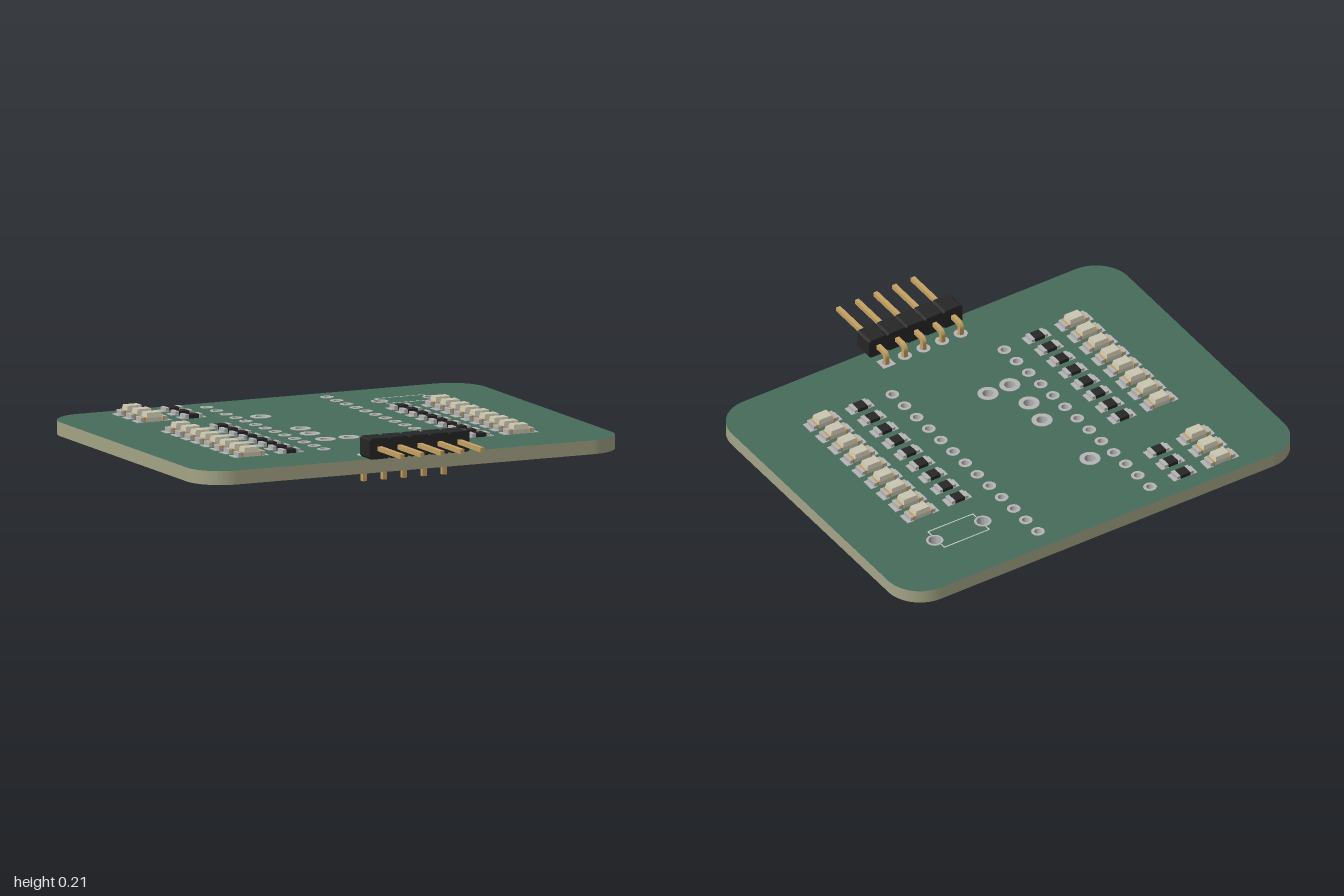
import * as THREE from 'three';

const BOTTOM = 0.052, TOP = 0.112, PITCH = 0.0942;
const mat = (color, flatShading = false) => new THREE.MeshStandardMaterial({ color, flatShading });

export function createModel() {
  const root = new THREE.Group();
  const green = mat(0x466b5b), edge = mat(0xa3a486), silver = mat(0xb4b4b4, true);
  const cream = mat(0xcbc6b2), gold = mat(0xc4a062), black = mat(0x262626), white = mat(0xc8d2cc);

  const add = (parent, name, geometry, material, x = 0, y = 0, z = 0) => {
    const mesh = new THREE.Mesh(geometry, material);
    mesh.name = name;
    mesh.position.set(x, y, z);
    parent.add(mesh);
    return mesh;
  };
  const group = (name) => {
    const g = new THREE.Group();
    g.name = name;
    root.add(g);
    return g;
  };
  // Box resting on height y
  const slab = (parent, name, material, w, h, d, x, y, z) =>
    add(parent, name, new THREE.BoxGeometry(w, h, d), material, x, y + h / 2, z);

  const rowZ = (i) => -0.8 + i * PITCH;
  const pinX = [-2, -1, 0, 1, 2].map((i) => i * PITCH - 0.002);
  const pinZ = 0.527;

  // Plated holes: x, z, hole radius, ring radius
  const holes = [
    [-0.177, -0.497, 0.024, 0.045], [-0.152, -0.163, 0.024, 0.045], [-0.17, -0.035, 0.024, 0.045],
    [-0.17, 0.115, 0.024, 0.045], [-0.06, 0.115, 0.024, 0.045],
    [0.44, -0.613, 0.027, 0.037], [0.683, -0.613, 0.027, 0.037],
  ];
  for (let i = 0; i < 13; i++) for (const s of [-1, 1]) holes.push([s * 0.283, rowZ(i), 0.016, 0.029]);
  for (const x of pinX) holes.push([x, pinZ, 0.015, 0.03]);

  // Circuit board with rounded corners and drilled holes
  const outline = new THREE.Shape();
  const back = 0.9, front = -0.635, r = 0.16;
  outline.moveTo(-1 + r, front);
  outline.lineTo(1 - r, front);
  outline.absarc(1 - r, front + r, r, -Math.PI / 2, 0);
  outline.absarc(1 - r, back - r, r, 0, Math.PI / 2);
  outline.absarc(-1 + r, back - r, r, Math.PI / 2, Math.PI);
  outline.absarc(-1 + r, front + r, r, Math.PI, Math.PI * 1.5);
  for (const [x, z, hole] of holes) {
    outline.holes.push(new THREE.Path().absarc(x, -z, hole + 0.003, 0, Math.PI * 2, true));
  }
  const boardGeo = new THREE.ExtrudeGeometry(outline, { depth: TOP - BOTTOM, bevelEnabled: false, curveSegments: 12 });
  boardGeo.rotateX(-Math.PI / 2);
  add(root, 'board', boardGeo, [green, edge], 0, BOTTOM, 0);

  // Plated rings lining every hole on both faces
  const rings = group('platedHoles');
  for (const [x, z, hole, ring] of holes) {
    const b = BOTTOM - 0.002, t = TOP + 0.002;
    const profile = [[ring, b], [ring, t], [hole, t], [hole, b], [ring, b]].map((p) => new THREE.Vector2(...p));
    add(rings, 'platedHole', new THREE.LatheGeometry(profile, 24), silver, x, 0, z);
  }
  // Square corners around the first header pad
  for (const s of [-1, 1]) {
    slab(rings, 'squarePad', silver, 0.06, 0.003, 0.014, pinX[4], TOP, pinZ + s * 0.023);
    slab(rings, 'squarePad', silver, 0.014, 0.003, 0.032, pinX[4] + s * 0.023, TOP, pinZ);
  }

  // Tapered lens for the light diodes
  const lensGeo = new THREE.CylinderGeometry(0.032 * Math.SQRT2, 0.037 * Math.SQRT2, 0.022, 4, 1).toNonIndexed();
  lensGeo.rotateY(Math.PI / 4);
  lensGeo.scale(1, 1, 0.72);
  lensGeo.computeVertexNormals();

  const addDiode = (x, z) => {
    const g = group('lightDiode');
    g.position.set(x, 0, z);
    slab(g, 'base', cream, 0.11, 0.018, 0.052, 0, TOP, 0);
    add(g, 'lens', lensGeo, cream, 0, TOP + 0.029, 0);
    for (const s of [-1, 1]) {
      slab(g, 'solderPad', silver, 0.032, 0.003, 0.062, s * 0.064, TOP, 0);
      slab(g, 'terminal', silver, 0.014, 0.02, 0.053, s * 0.055, TOP, 0);
      slab(g, 'contact', gold, 0.009, 0.021, 0.053, s * 0.044, TOP, 0);
    }
  };
  const addResistor = (x, z) => {
    const g = group('resistor');
    g.position.set(x, 0, z);
    slab(g, 'body', black, 0.056, 0.016, 0.048, 0, TOP, 0);
    for (const s of [-1, 1]) {
      slab(g, 'solderPad', silver, 0.034, 0.003, 0.054, s * 0.042, TOP, 0);
      slab(g, 'terminal', silver, 0.017, 0.017, 0.049, s * 0.033, TOP, 0);
    }
  };
  // Component rows on each side
  const sides = [[-1, [0, 1, 2, 5, 6, 7, 8, 9, 10, 11, 12]], [1, [4, 5, 6, 7, 8, 9, 10, 11, 12]]];
  for (const [s, rows] of sides) {
    for (const i of rows) {
      addDiode(s * 0.635, rowZ(i));
      addResistor(s * 0.447, rowZ(i));
    }
  }

  // Printed outline of the button area
  const print = group('buttonOutline');
  for (const s of [-1, 1]) {
    slab(print, 'longLine', white, 0.23, 0.0015, 0.005, 0.5615, TOP, -0.612 + s * 0.064);
    for (const e of [-1, 1]) {
      slab(print, 'shortLine', white, 0.005, 0.0015, 0.026, 0.5615 + s * 0.113, TOP, -0.612 + e * 0.051);
    }
  }

  // Right-angle header: chamfered housing cells with bent pins
  const header = group('pinHeader');
  const w = PITCH / 2, h = 0.045, c = 0.009;
  const cell = new THREE.Shape([
    [-w + c, -h], [w - c, -h], [w, -h + c], [w, h - c], [w - c, h], [-w + c, h], [-w, h - c], [-w, -h + c],
  ].map((p) => new THREE.Vector2(...p)));
  const cellGeo = new THREE.ExtrudeGeometry(cell, { depth: 0.093, bevelEnabled: false });

  const t = 0.01, py = 0.163;
  const bend = new THREE.Shape();
  bend.moveTo(pinZ - t, 0);
  bend.lineTo(pinZ - t, py - 0.02);
  bend.absarc(pinZ + 0.02, py - 0.02, 0.03, Math.PI, Math.PI / 2, true);
  bend.lineTo(0.9, py + t);
  bend.lineTo(0.9, py - t);
  bend.lineTo(pinZ + 0.02, py - t);
  bend.absarc(pinZ + 0.02, py - 0.02, 0.01, Math.PI / 2, Math.PI, false);
  bend.lineTo(pinZ + t, 0);
  const pinGeo = new THREE.ExtrudeGeometry(bend, { depth: 2 * t, bevelEnabled: false, curveSegments: 6 });
  pinGeo.translate(0, 0, -t);
  pinGeo.rotateY(-Math.PI / 2);
  for (const x of pinX) {
    add(header, 'housing', cellGeo, black, x, py, 0.587);
    add(header, 'pin', pinGeo, gold, x, 0, 0);
  }
  return root;
}
